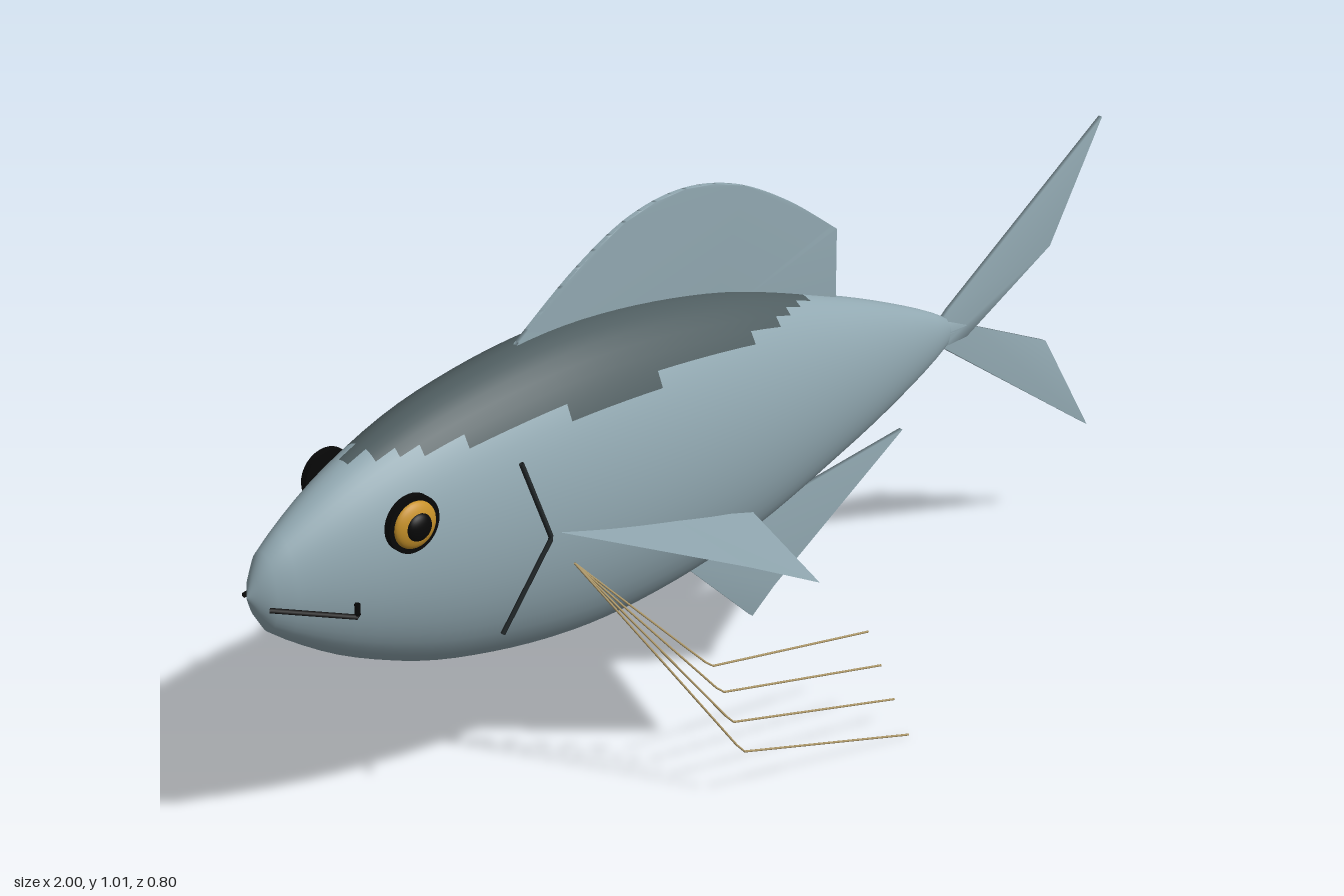
import * as THREE from 'three';
import { mergeVertices } from 'three/addons/utils/BufferGeometryUtils.js';

const material = (name, color) => {
  const m = new THREE.MeshStandardMaterial({ color, side: THREE.DoubleSide });
  m.name = name;
  return m;
};

export function createModel() {
  const fish = new THREE.Group();
  fish.name = 'fish';
  const skin = material('blue grey skin', 0x92a9b2);
  const back = material('dark back', 0x4f5d60);
  const line = material('gill line', 0x23292b);
  const black = material('black', 0x080808);
  const gold = material('gold iris', 0xc8922a);
  const ray = material('tan ray', 0xb09a6a);

  const add = (name, geometry, mat, parent = fish) => {
    const mesh = new THREE.Mesh(geometry, mat);
    mesh.name = name;
    parent.add(mesh);
    return mesh;
  };

  // Body: turned profile laid along x and flattened sideways
  const profile = new THREE.SplineCurve([
    [0.001, -1], [0.05, -0.98], [0.09, -0.945], [0.18, -0.8], [0.252, -0.6], [0.288, -0.32],
    [0.252, 0], [0.158, 0.3], [0.078, 0.5], [0.022, 0.605], [0.001, 0.612],
  ].map(([r, x]) => new THREE.Vector2(r, x)));
  const rows = profile.getSpacedPoints(44).map(p => p.set(Math.max(p.x, 0.001), p.y));
  const body = new THREE.LatheGeometry(rows, 48);
  body.rotateZ(-Math.PI / 2).scale(1, 1, 0.525).translate(0, 0.55, 0);

  // Back patch: the high faces of the body get the dark colour
  const pos = body.attributes.position, light = [], dark = [];
  const index = Array.from(body.index.array);
  for (let i = 0; i < index.length; i += 6) {
    const quad = index.slice(i, i + 6);
    const y = quad.reduce((sum, v) => sum + pos.getY(v), 0) / 6;
    (y > 0.737 ? dark : light).push(...quad);
  }
  body.setIndex([...light, ...dark]);
  body.addGroup(0, light.length, 0);
  body.addGroup(light.length, dark.length, 1);
  add('body', body, [skin, back]);

  // Thin fins on the middle plane, with normals smoothed over the rim
  const flatFin = (name, shape) => {
    const g = new THREE.ExtrudeGeometry(shape, { depth: 0.009, bevelEnabled: false, curveSegments: 24 });
    g.translate(0, 0, -0.0045).deleteAttribute('normal').deleteAttribute('uv');
    const smooth = mergeVertices(g);
    smooth.computeVertexNormals();
    add(name, smooth, skin);
  };
  const polygon = pts => new THREE.Shape(pts.map(([x, y]) => new THREE.Vector2(x, y)));

  const dorsal = new THREE.Shape();
  dorsal.moveTo(-0.46, 0.8);
  dorsal.lineTo(-0.43, 0.835);
  dorsal.splineThru([[-0.3, 0.93], [-0.18, 0.992], [-0.06, 1.012], [0.06, 0.99], [0.18, 0.93], [0.305, 0.84]]
    .map(([x, y]) => new THREE.Vector2(x, y)));
  dorsal.lineTo(0.305, 0.68);
  dorsal.lineTo(0, 0.74);
  flatFin('dorsalFin', dorsal);
  flatFin('analFin', polygon([[-0.09, 0.31], [0.105, 0.12], [0.16, 0.165], [0.485, 0.382], [0.16, 0.335], [0.1, 0.4]]));
  flatFin('upperTailLobe', polygon([[0.56, 0.56], [0.6, 0.595], [1, 0.88], [0.87, 0.65], [0.65, 0.525], [0.58, 0.52]]));
  flatFin('lowerTailLobe', polygon([[0.56, 0.54], [0.6, 0.51], [1, 0.23], [0.87, 0.45], [0.67, 0.54], [0.6, 0.57]]));

  // Straight-segment strokes through a list of points
  const stroke = (name, pts, radius, mat, parent) => {
    const path = new THREE.CurvePath();
    const v = pts.map(p => new THREE.Vector3(...p));
    for (let i = 1; i < v.length; i++) path.add(new THREE.LineCurve3(v[i - 1], v[i]));
    add(name, new THREE.TubeGeometry(path, 40, radius, 6), mat, parent);
  };

  for (const s of [1, -1]) {
    const side = new THREE.Group();
    side.name = s > 0 ? 'nearSide' : 'farSide';
    fish.add(side);

    // Pectoral fin: thin plate with a soft fold
    const A = [-0.47, 0.545, s * 0.14], B = [-0.1, 0.42, s * 0.4], C = [0, 0.415, s * 0.12];
    const D = [-0.2, 0.475, s * 0.13], E = [-0.2, 0.458, s * 0.333];
    const tris = [[A, E, D], [D, E, B], [D, B, C]].map(t => (s > 0 ? t : [t[0], t[2], t[1]]));
    const fin = new THREE.BufferGeometry();
    fin.setAttribute('position', new THREE.Float32BufferAttribute(tris.flat(2), 3));
    fin.computeVertexNormals();
    add('pectoralFin', fin, skin, side);

    // Free finger rays below the pectoral fin
    const bends = [[0.24, 0.255], [0.2, 0.283], [0.152, 0.31], [0.105, 0.338]];
    const tips = [[0.17, 0.255], [0.115, 0.29], [0.06, 0.326], [0.003, 0.365]];
    bends.forEach(([y, z], i) => stroke('fingerRay',
      [[-0.44, 0.48, s * 0.155], [-0.22, y, s * z], [0.16, tips[i][0], s * tips[i][1]]], 0.002, ray, side));

    // Gill cover edge and mouth
    stroke('gillEdge', [[-0.545, 0.7, s * 0.15], [-0.495, 0.55, s * 0.163], [-0.585, 0.39, s * 0.139]], 0.0045, line, side);
    stroke('mouth', [[-0.98, 0.535, s * 0.036], [-0.855, 0.505, s * 0.103], [-0.855, 0.53, s * 0.103]], 0.005, black, side);

    // Eye: black backing disc, gold iris dome and black pupil dome
    const eye = new THREE.Group();
    eye.name = 'eye';
    eye.position.set(-0.747, 0.645, s * 0.115);
    eye.rotation.x = s * Math.PI / 2;
    side.add(eye);
    const dome = (radius, depth) =>
      new THREE.SphereGeometry(radius, 28, 10, 0, Math.PI * 2, 0, Math.PI / 2).scale(1, depth / radius, 1);
    add('eyeRim', new THREE.CylinderGeometry(0.051, 0.051, 0.014, 32), black, eye);
    add('iris', dome(0.042, 0.016).translate(0, 0.0072, 0), gold, eye);
    add('pupil', dome(0.025, 0.013).translate(0, 0.018, 0), black, eye);
  }
  return fish;
}
